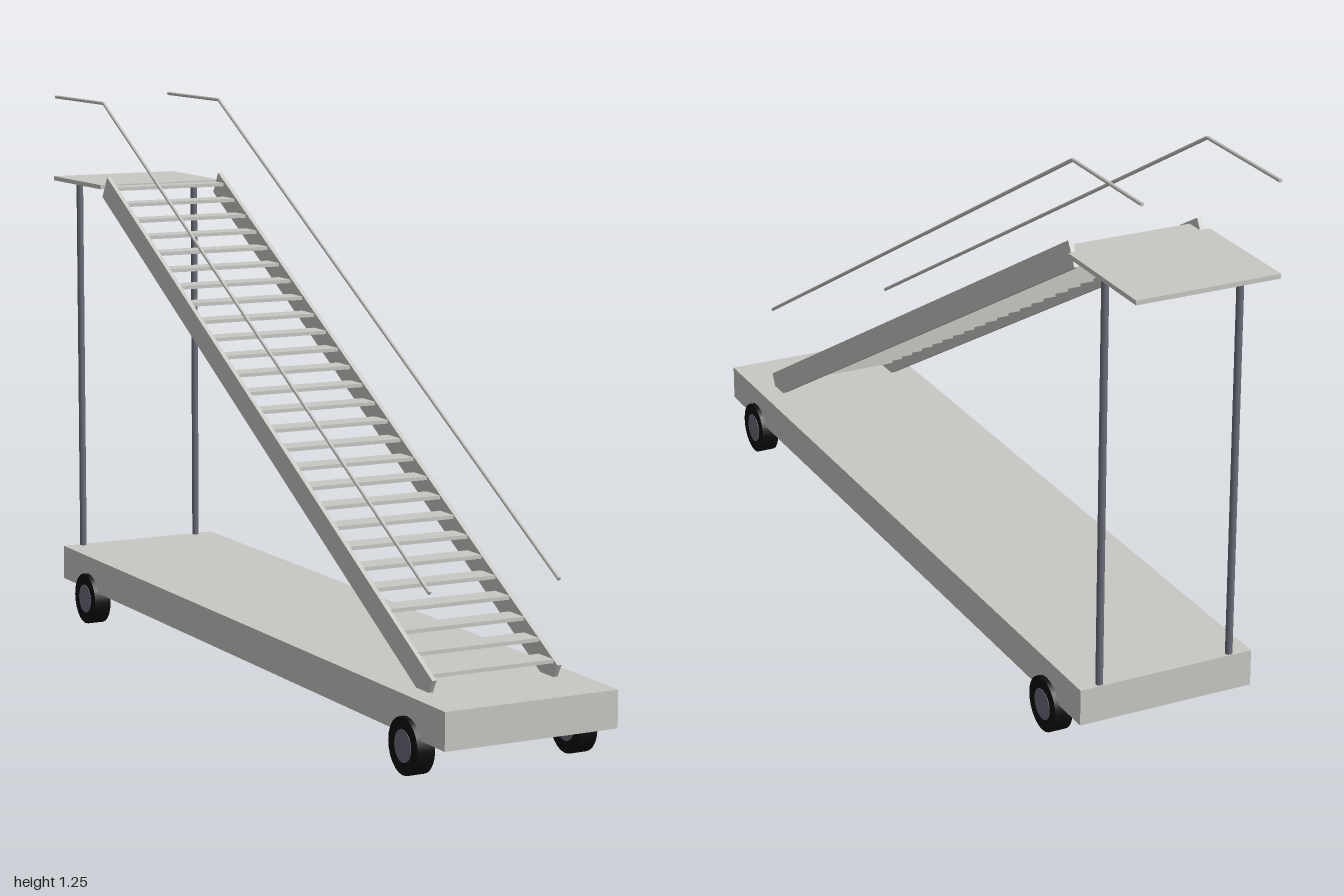
import * as THREE from 'three';

export function createModel() {
  const model = new THREE.Group();
  model.name = 'boardingStairs';

  const paint = new THREE.MeshStandardMaterial({ color: 0xc8c8c4 });
  paint.name = 'light grey paint';
  const steel = new THREE.MeshStandardMaterial({ color: 0x6b6d7a });
  steel.name = 'blue grey steel';
  const rubber = new THREE.MeshStandardMaterial({ color: 0x0e0e0e });
  rubber.name = 'black rubber';

  const add = (name, geometry, material, x, y, z) => {
    const mesh = new THREE.Mesh(geometry, material);
    mesh.name = name;
    mesh.position.set(x, y, z);
    model.add(mesh);
    return mesh;
  };

  // Straight bar between two points
  const rod = (name, a, b, radius, material) => {
    const dir = b.clone().sub(a);
    const mid = a.clone().add(b).multiplyScalar(0.5);
    const mesh = add(name, new THREE.CylinderGeometry(radius, radius, dir.length(), 10), material, mid.x, mid.y, mid.z);
    mesh.quaternion.setFromUnitVectors(new THREE.Vector3(0, 1, 0), dir.normalize());
  };

  // Chassis deck and upper platform
  add('chassis', new THREE.BoxGeometry(0.4, 0.08, 1.87), paint, 0, 0.122, 0.065);
  add('platform', new THREE.BoxGeometry(0.32, 0.01, 0.28), paint, 0, 1.05, -0.86);

  // Treads
  const treadGeometry = new THREE.BoxGeometry(0.285, 0.008, 0.058);
  for (let i = 0; i < 27; i++) {
    add('tread', treadGeometry, paint, 0, 0.195 + i * 0.0328, 0.82 - i * 0.0585);
  }

  // Stair slope in the side plane
  const low = { y: 0.165, z: 0.85 };
  const high = { y: 1.05, z: -0.715 };
  const rise = high.y - low.y;
  const run = low.z - high.z;
  const stringerGeometry = new THREE.BoxGeometry(0.01, 0.056, Math.hypot(rise, run));

  const tyreGeometry = new THREE.CylinderGeometry(0.06, 0.06, 0.04, 24).rotateZ(Math.PI / 2);
  const hubGeometry = new THREE.CylinderGeometry(0.034, 0.034, 0.042, 24).rotateZ(Math.PI / 2);

  for (const side of [-1, 1]) {
    // Stringer beside the treads
    const stringer = add('stringer', stringerGeometry, paint, side * 0.146, (low.y + high.y) / 2, (low.z + high.z) / 2);
    stringer.rotation.x = Math.atan2(rise, run);

    // Handrail: sloped run, then level run over the platform
    const x = side * 0.151;
    const bend = new THREE.Vector3(x, 1.248, -0.717);
    rod('handrail', new THREE.Vector3(x, 0.365, 0.85), bend, 0.004, paint);
    rod('handrail', bend, new THREE.Vector3(x, 1.248, -1), 0.004, paint);

    // Rear support post
    const px = side * 0.152;
    rod('supportPost', new THREE.Vector3(px, 0.15, -0.86), new THREE.Vector3(px, 1.046, -0.86), 0.008, steel);

    // Wheels
    for (const z of [0.85, -0.72]) {
      add('tyre', tyreGeometry, rubber, side * 0.19, 0.06, z);
      add('hub', hubGeometry, steel, side * 0.19, 0.06, z);
    }
  }
  return model;
}
